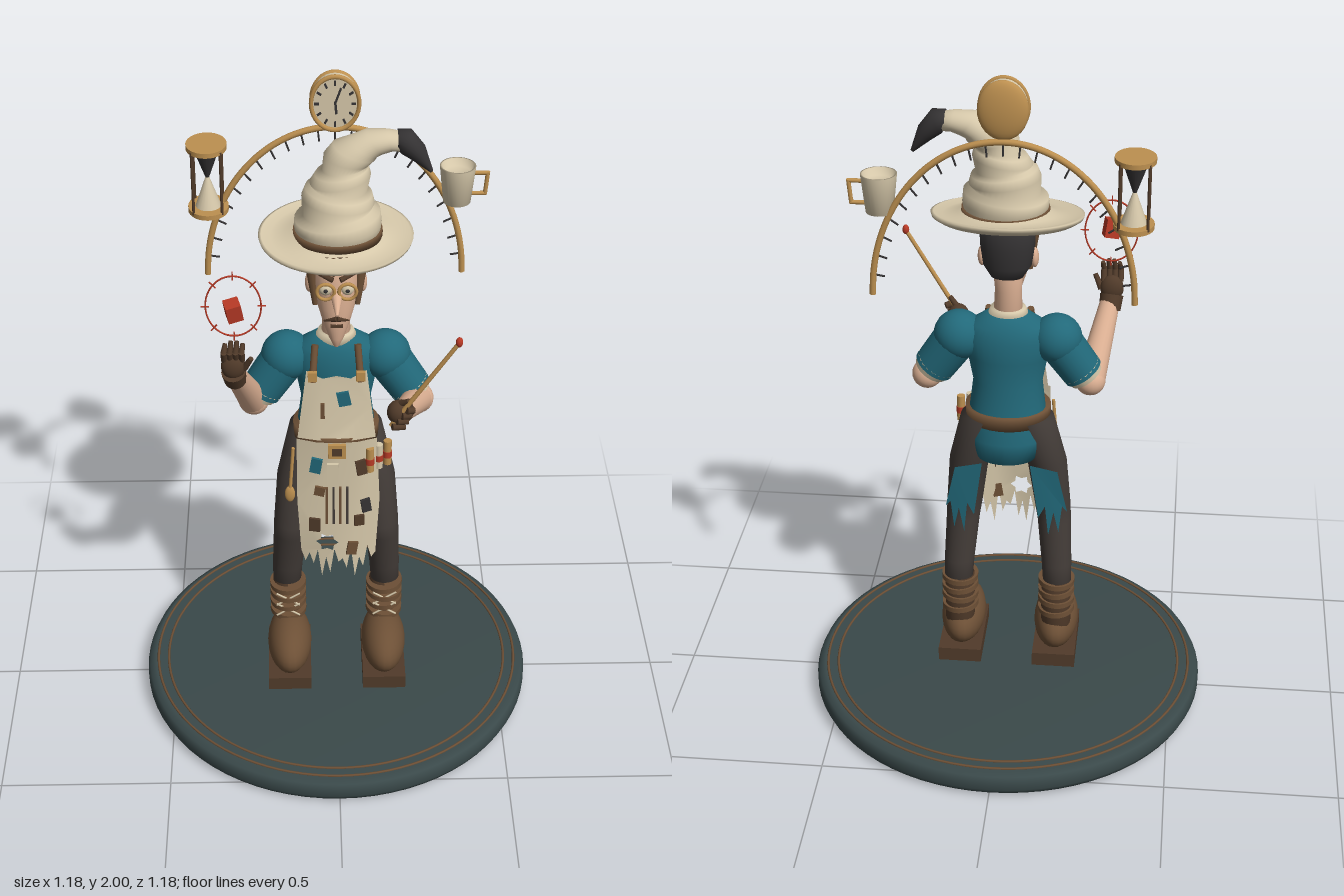
import * as THREE from 'three';

const V = (a) => new THREE.Vector3(...a);

function material(name, color, side = THREE.FrontSide) {
  const m = new THREE.MeshStandardMaterial({ color, side });
  m.name = name;
  return m;
}

// Closed skin over rings [x, y, z, rx, rz, tilt], listed from bottom to top
function loft(rows, seg = 28) {
  const pos = [], idx = [];
  for (const [x, y, z, rx, rz, t = 0] of rows)
    for (let i = 0; i < seg; i++) {
      const a = (i / seg) * Math.PI * 2, c = rx * Math.cos(a);
      pos.push(x + c * Math.cos(t), y + c * Math.sin(t), z + rz * Math.sin(a));
    }
  for (let r = 0; r < rows.length - 1; r++)
    for (let i = 0; i < seg; i++) {
      const a = r * seg + i, b = r * seg + (i + 1) % seg;
      idx.push(a, a + seg, b, b, a + seg, b + seg);
    }
  [0, rows.length - 1].forEach((r) => {
    const c = pos.length / 3;
    pos.push(...rows[r].slice(0, 3));
    for (let i = 0; i < seg; i++) {
      const a = r * seg + i, b = r * seg + (i + 1) % seg;
      idx.push(...(r ? [c, b, a] : [c, a, b]));
    }
  });
  const g = new THREE.BufferGeometry();
  g.setAttribute('position', new THREE.Float32BufferAttribute(pos, 3));
  g.setIndex(idx);
  g.computeVertexNormals();
  return g;
}

// Cloth sheet cut from an outline and bent by a depth rule
function sheet(points, depth, holes = []) {
  const s = new THREE.Shape(points.map((p) => new THREE.Vector2(...p)));
  for (const h of holes) s.holes.push(new THREE.Path(h.map((p) => new THREE.Vector2(...p))));
  const g = new THREE.ShapeGeometry(s), p = g.attributes.position;
  for (let i = 0; i < p.count; i++) p.setZ(i, depth(p.getX(i), p.getY(i)));
  g.computeVertexNormals();
  return g;
}

export function createModel() {
  const model = new THREE.Group();
  const slate = material('slate', 0x3a494a), cream = material('cream', 0xd6c8aa, THREE.DoubleSide);
  const teal = material('teal', 0x22697a, THREE.DoubleSide), charcoal = material('charcoal', 0x433c38);
  const leather = material('leather', 0x6d5036), skin = material('skin', 0xdcb093);
  const gold = material('gold', 0xbd9050), red = material('red', 0xb83a26);
  const black = material('black', 0x353334), darkBrown = material('darkBrown', 0x513b2a);

  const add = (name, geo, mat, p = [0, 0, 0], s = [1, 1, 1], r = [0, 0, 0], parent = model) => {
    const m = new THREE.Mesh(geo, mat);
    m.name = name;
    m.position.set(...p); m.scale.set(...s); m.rotation.set(...r);
    parent.add(m);
    return m;
  };
  const ball = (name, mat, p, s) => add(name, new THREE.SphereGeometry(1, 24, 16), mat, p, s);
  const box = (name, mat, p, s, r) => add(name, new THREE.BoxGeometry(...s), mat, p, [1, 1, 1], r);
  const rod = (name, mat, a, b, r1, r2 = r1, seg = 12) => {
    const d = V(b).sub(V(a));
    const m = add(name, new THREE.CylinderGeometry(r2, r1, d.length(), seg), mat, V(a).addScaledVector(d, 0.5).toArray());
    m.quaternion.setFromUnitVectors(V([0, 1, 0]), d.normalize());
    return m;
  };

  // Round base with two cord inlays
  const edge = [[0, 0], [0.565, 0], [0.583, 0.01], [0.59, 0.025], [0.59, 0.05], [0.583, 0.066], [0.565, 0.076], [0, 0.076]];
  add('base', new THREE.LatheGeometry(edge.map((p) => new THREE.Vector2(...p)), 72), slate);
  for (const r of [0.557, 0.525]) add('baseCord', new THREE.TorusGeometry(r, 0.004, 6, 96), leather, [0, 0.077, 0], [1, 1, 1], [Math.PI / 2, 0, 0]);

  // Legs, boots, ankle wraps and tunic tails
  for (const s of [-1, 1]) {
    add('trouserLeg', loft([[s * 0.15, 0.35, -0.005, 0.042, 0.036], [s * 0.147, 0.43, 0, 0.045, 0.042], [s * 0.137, 0.57, 0.025, 0.05, 0.052],
      [s * 0.132, 0.62, 0.028, 0.053, 0.057], [s * 0.115, 0.78, 0.008, 0.058, 0.062], [s * 0.07, 0.94, -0.015, 0.065, 0.068]]), charcoal);
    box('sole', darkBrown, [s * 0.144, 0.106, 0.065], [0.13, 0.044, 0.25]);
    ball('boot', leather, [s * 0.144, 0.185, 0.07], [0.067, 0.08, 0.134]);
    add('ankle', loft([[s * 0.147, 0.2, 0, 0.045, 0.045], [s * 0.147, 0.37, 0, 0.045, 0.045]]), darkBrown);
    [0.262, 0.298, 0.33, 0.362].forEach((y, i) =>
      add('ankleStrap', new THREE.CylinderGeometry(0.055, 0.055, 0.016, 24), leather, [s * 0.147, y, 0.008], [1, 1, 1.08], [0, 0, (i % 2 ? 1 : -1) * 0.04]));
    for (const d of [-1, 1]) for (const y of [0.27, 0.31])
      rod('lace', cream, [s * 0.147 - d * 0.035, y, 0.06], [s * 0.147 + d * 0.035, y + 0.045, 0.06], 0.003, 0.003, 6);
    add('tunicTail', sheet([[0.07, 0.8], [0.15, 0.78], [0.18, 0.64], [0.165, 0.66], [0.155, 0.57], [0.14, 0.64], [0.125, 0.56], [0.115, 0.66], [0.095, 0.62]]
      .map(([x, y]) => [s * x, y]), (x, y) => -0.068 + 0.18 * Math.max(0, Math.abs(x) - 0.13) + (0.8 - y) * 0.03), teal);
  }

  // Tunic, belt and collar
  add('tunic', loft([[0, 0.82, -0.045, 0.085, 0.062], [0, 0.88, -0.025, 0.112, 0.078], [0, 0.95, -0.008, 0.112, 0.085], [0, 1.05, 0, 0.1, 0.074],
    [0, 1.13, 0, 0.115, 0.08], [0, 1.19, 0, 0.13, 0.078], [0, 1.23, 0.002, 0.11, 0.066], [0, 1.26, 0.005, 0.06, 0.048]], 36), teal);
  add('belt', loft([[0, 0.925, 0.008, 0.124, 0.106], [0, 0.967, 0.008, 0.124, 0.106]], 36), leather);
  add('collar', loft([[0, 1.235, 0.005, 0.068, 0.056], [0, 1.275, 0.008, 0.05, 0.046]]), cream);

  // Apron: bent skirt with ragged hem and a torn hole, then the bib
  const skirtZ = (x) => 0.136 - 2 * x * x, bibZ = (x, y) => 0.112 - 0.1 * (y - 0.95) - 1.6 * x * x;
  const hem = [];
  for (let i = 0; i <= 18; i++) hem.push([-0.105 + i * 0.0122, i % 2 ? 0.51 + 0.03 * Math.sin(i * 2.3) : 0.57 + 0.02 * Math.sin(i * 1.7)]);
  const topEdge = [0.115, 0.06, 0, -0.06, -0.115].map((x) => [x, 0.97]);
  const hole = [];
  for (let i = 0; i < 12; i++) {
    const a = -i * Math.PI / 6, r = i % 2 ? 0.022 : 0.033;
    hole.push([-0.028 + r * Math.cos(a), 0.612 + r * Math.sin(a)]);
  }
  add('apronSkirt', sheet([...hem, [0.125, 0.75], ...topEdge, [-0.115, 0.75]], skirtZ, [hole]), cream);
  add('apronBib', sheet([[-0.112, 0.96], [-0.05, 0.96], [0, 0.96], [0.05, 0.96], [0.112, 0.96], [0.1, 1.06], [0.085, 1.18], [0.04, 1.16], [0, 1.17],
    [-0.04, 1.16], [-0.085, 1.18], [-0.1, 1.06]], bibZ), cream);
  for (const s of [-1, 1]) {
    rod('apronStrap', leather, [s * 0.068, 1.15, 0.09], [s * 0.06, 1.25, 0.052], 0.01);
    box('strapBuckle', gold, [s * 0.068, 1.17, 0.092], [0.026, 0.03, 0.012]);
  }
  const patches = [[-0.06, 0.89, 0.032, 0.05, teal], [-0.012, 0.865, 0.034, 0.07, cream], [0.07, 0.88, 0.03, 0.05, darkBrown], [-0.05, 0.8, 0.03, 0.03, leather],
    [-0.065, 0.675, 0.032, 0.045, darkBrown], [0.085, 0.74, 0.028, 0.045, black], [0.045, 0.59, 0.03, 0.045, leather], [0.065, 0.69, 0.03, 0.035, darkBrown]];
  patches.forEach(([x, y, w, h, m], i) => box('apronPatch', m, [x, y, skirtZ(x) + 0.003], [w, h, 0.008], [0, x * 3.5, (i % 3 - 1) * 0.15]));
  for (let i = 0; i < 4; i++) box('apronStripe', i % 2 ? charcoal : leather, [-0.03 + i * 0.02, 0.75, 0.138], [0.007, 0.13, 0.008]);
  box('bibPatch', teal, [0.02, 1.1, 0.102], [0.035, 0.045, 0.008], [0, 0, 0.2]);
  box('bibSeam', leather, [-0.04, 1.06, 0.103], [0.012, 0.05, 0.008]);

  // Belt buckle, hanging spoon and vials
  box('buckle', gold, [0, 0.945, 0.138], [0.05, 0.045, 0.014]);
  box('buckleInset', darkBrown, [0, 0.945, 0.144], [0.028, 0.024, 0.008]);
  rod('spoonHandle', gold, [-0.125, 0.93, 0.1], [-0.135, 0.79, 0.105], 0.005);
  ball('spoonBowl', gold, [-0.136, 0.77, 0.105], [0.015, 0.028, 0.008]);
  for (let i = 0; i < 3; i++) {
    rod('vial', i === 1 ? cream : gold, [0.095 + i * 0.026, 0.86, 0.118 - i * 0.018], [0.095 + i * 0.026, 0.94, 0.118 - i * 0.018], 0.012);
    rod('vialBand', red, [0.095 + i * 0.026, 0.885, 0.118 - i * 0.018], [0.095 + i * 0.026, 0.905, 0.118 - i * 0.018], 0.0135);
  }

  // Arms: right hand raised with a spell, left hand forward with a match
  const arms = [[-1, [-0.283, 1.235, 0.17]], [1, [0.178, 1.115, 0.195]]];
  for (const [s, wrist] of arms) {
    const shoulder = [s * 0.14, 1.185, 0], cuff = [s * 0.215, 1.075, 0.01], elbow = [s * 0.236, 1.045, 0.018];
    ball('shoulder', teal, shoulder, [0.073, 0.073, 0.07]);
    rod('sleeve', teal, shoulder, cuff, 0.065, 0.06, 24);
    rod('cuff', cream, [s * 0.207, 1.087, 0.009], [s * 0.224, 1.062, 0.012], 0.061, 0.052, 20);
    ball('elbow', skin, elbow, [0.044, 0.044, 0.044]);
    rod('forearm', skin, elbow, wrist, 0.043, 0.028, 20);
  }
  rod('rightGloveCuff', darkBrown, [-0.281, 1.205, 0.155], [-0.285, 1.245, 0.175], 0.031, 0.034, 16);
  ball('rightPalm', darkBrown, [-0.285, 1.265, 0.178], [0.034, 0.04, 0.022]);
  for (let i = 0; i < 4; i++) {
    const x = -0.309 + i * 0.016;
    rod('rightFinger', darkBrown, [x, 1.285, 0.18], [x, 1.32, 0.195], 0.009);
    rod('rightFingertip', darkBrown, [x, 1.318, 0.195], [x + 0.004, 1.355 - Math.abs(i - 1.5) * 0.008, 0.185], 0.009, 0.006);
  }
  rod('rightThumb', darkBrown, [-0.255, 1.26, 0.18], [-0.235, 1.3, 0.195], 0.01, 0.007);
  rod('leftGloveCuff', darkBrown, [0.185, 1.11, 0.175], [0.174, 1.125, 0.21], 0.031, 0.034, 16);
  ball('leftPalm', darkBrown, [0.168, 1.135, 0.22], [0.032, 0.036, 0.03]);
  for (let i = 0; i < 4; i++) rod('leftFinger', darkBrown, [0.15 + i * 0.013, 1.105 + i * 0.018, 0.25], [0.185 + i * 0.008, 1.1 + i * 0.018, 0.24], 0.01);
  rod('leftThumb', darkBrown, [0.17, 1.16, 0.22], [0.195, 1.185, 0.24], 0.01, 0.007);
  rod('matchStick', gold, [0.148, 1.1, 0.235], [0.325, 1.385, 0.26], 0.007, 0.006);
  ball('matchHead', red, [0.325, 1.387, 0.26], [0.01, 0.015, 0.01]);

  // Floating cube in a thin ring with marks
  box('spellCube', red, [-0.28, 1.45, 0.187], [0.042, 0.052, 0.042], [0.15, 0.25, 0.15]);
  add('spellRing', new THREE.TorusGeometry(0.094, 0.0028, 6, 48), red, [-0.28, 1.45, 0.166], [0.8, 1, 1]);
  for (let i = 0; i < 8; i++) {
    const c = Math.cos(i * Math.PI / 4), d = Math.sin(i * Math.PI / 4);
    rod('spellMark', red, [-0.28 + c * 0.065, 1.45 + d * 0.082, 0.166], [-0.28 + c * 0.088, 1.45 + d * 0.108, 0.166], 0.002, 0.002, 6);
  }

  // Head: long pointed face, ears, nose, hair and round spectacles
  add('neck', loft([[0, 1.24, 0.005, 0.042, 0.038], [0, 1.33, 0.012, 0.038, 0.036], [0, 1.42, 0.005, 0.045, 0.045]]), skin);
  add('face', loft([[0, 1.255, 0.062, 0.008, 0.01], [0, 1.285, 0.058, 0.022, 0.024], [0, 1.33, 0.048, 0.038, 0.04], [0, 1.38, 0.036, 0.053, 0.054],
    [0, 1.44, 0.025, 0.062, 0.064], [0, 1.56, 0.015, 0.066, 0.066]]), skin);
  add('hair', loft([[0, 1.385, -0.025, 0.045, 0.03], [0, 1.42, -0.018, 0.068, 0.052], [0, 1.48, -0.012, 0.077, 0.064], [0, 1.56, -0.008, 0.08, 0.07]]), black);
  rod('nose', skin, [0, 1.435, 0.085], [0, 1.405, 0.15], 0.018, 0.004);
  box('mouth', darkBrown, [0, 1.335, 0.089], [0.034, 0.007, 0.008]);
  for (const s of [-1, 1]) {
    rod('moustache', darkBrown, [0, 1.36, 0.094], [s * 0.035, 1.345, 0.076], 0.008, 0.002);
    rod('sideburn', leather, [s * 0.068, 1.5, 0.035], [s * 0.058, 1.38, 0.045], 0.018, 0.008);
    ball('ear', skin, [s * 0.074, 1.43, 0.01], [0.012, 0.03, 0.018]);
    ball('eye', cream, [s * 0.03, 1.45, 0.083], [0.018, 0.018, 0.012]);
    ball('pupil', black, [s * 0.03, 1.45, 0.094], [0.006, 0.006, 0.004]);
    add('spectacleRim', new THREE.TorusGeometry(0.024, 0.005, 8, 24), gold, [s * 0.03, 1.45, 0.098]);
    rod('brow', darkBrown, [s * 0.01, 1.482, 0.09], [s * 0.055, 1.495, 0.068], 0.008, 0.005);
  }
  for (let i = 0; i < 18; i++) {
    const a = Math.PI * (i / 17), c = Math.cos(a), d = Math.sin(a);
    rod('fringe', i % 2 ? leather : darkBrown, [c * 0.095, 1.56, 0.01 + d * 0.08], [c * 0.085, 1.495 + 0.012 * (i % 3), 0.01 + d * 0.08], 0.016, 0.004, 8);
  }

  // Hat: tilted brim, crumpled crown and drooping tip
  const brim = [[0.08, -0.012], [0.14, -0.016], [0.19, -0.012], [0.21, 0], [0.213, 0.01], [0.205, 0.012], [0.18, 0.005], [0.14, 0.01], [0.1, 0.03]];
  add('hatBrim', new THREE.LatheGeometry(brim.map((p) => new THREE.Vector2(...p)), 48), cream, [0, 1.562, -0.01], [1, 1, 0.83], [0.13, 0, 0]);
  add('hatBand', loft([[0.005, 1.57, -0.01, 0.124, 0.113], [0.005, 1.592, -0.01, 0.122, 0.112]], 36), leather);
  add('hatCrown', loft([[0.005, 1.55, -0.01, 0.112, 0.104], [0.005, 1.605, -0.01, 0.12, 0.112, 0.04], [0.004, 1.632, -0.012, 0.118, 0.112, 0.1],
    [0.004, 1.645, -0.014, 0.096, 0.094, 0.12], [0.006, 1.675, -0.02, 0.1, 0.098, -0.1], [0.008, 1.7, -0.022, 0.092, 0.09, -0.12],
    [0.01, 1.708, -0.024, 0.076, 0.074, -0.1], [0.012, 1.735, -0.026, 0.084, 0.08, 0.16], [0.016, 1.758, -0.028, 0.074, 0.07, 0.18],
    [0.022, 1.766, -0.03, 0.06, 0.058, 0.12], [0.03, 1.79, -0.032, 0.064, 0.062, -0.2], [0.05, 1.812, -0.034, 0.062, 0.06, -0.35],
    [0.075, 1.825, -0.034, 0.046, 0.05, -0.6], [0.105, 1.838, -0.034, 0.04, 0.045, -0.95], [0.145, 1.842, -0.032, 0.03, 0.036, -1.4],
    [0.18, 1.838, -0.03, 0.026, 0.032, -1.8]], 36), cream);
  add('hatTip', loft([[0.165, 1.845, -0.03, 0.026, 0.034, -1.6], [0.19, 1.838, -0.03, 0.036, 0.037, -1.95], [0.222, 1.805, -0.03, 0.026, 0.031, -2.3],
    [0.258, 1.75, -0.028, 0.005, 0.006, -2.5]], 20), black);

  // Arch behind the head with tick marks
  const arch = [];
  for (let i = 0; i <= 24; i++) {
    const a = Math.PI * i / 24, c = Math.cos(a), d = Math.sin(a);
    arch.push(new THREE.Vector3(0.36 * c, 1.37 + 0.458 * d, -0.142));
    if (i % 24) rod('archTick', black, [0.352 * c, 1.37 + 0.448 * d, -0.142], [0.328 * c, 1.37 + 0.418 * d, -0.142], 0.0028, 0.0028, 6);
  }
  add('arch', new THREE.TubeGeometry(new THREE.CatmullRomCurve3(arch), 72, 0.009, 10), gold);

  // Oval clock on top of the arch
  const clock = new THREE.Group();
  clock.name = 'clock';
  clock.position.set(0, 1.915, -0.138);
  clock.scale.set(0.83, 1, 1);
  model.add(clock);
  const part = (n, g, m, p, s, r) => add(n, g, m, p, s, r, clock);
  part('clockCase', new THREE.SphereGeometry(0.083, 32, 16), gold, [0, 0, 0], [1, 1, 0.28]);
  part('clockDial', new THREE.CylinderGeometry(0.078, 0.078, 0.03, 36), cream, [0, 0, 0.018], [1, 1, 1], [Math.PI / 2, 0, 0]);
  part('clockRim', new THREE.TorusGeometry(0.078, 0.007, 8, 40), gold, [0, 0, 0.033]);
  for (let i = 0; i < 12; i++) {
    const a = i * Math.PI / 6;
    part('hourMark', new THREE.BoxGeometry(0.006, 0.015, 0.006), black, [0.06 * Math.sin(a), 0.06 * Math.cos(a), 0.034], [1, 1, 1], [0, 0, -a]);
  }
  part('minuteHand', new THREE.BoxGeometry(0.006, 0.05, 0.006), black, [0.009, 0.022, 0.035], [1, 1, 1], [0, 0, -0.4]);
  part('hourHand', new THREE.BoxGeometry(0.008, 0.035, 0.006), black, [0.002, -0.012, 0.035], [1, 1, 1], [0, 0, 0.1]);

  // Hourglass
  const hx = -0.35, hz = -0.12;
  for (const y of [1.596, 1.786]) add('hourglassCap', new THREE.CylinderGeometry(0.056, 0.056, 0.014, 28), gold, [hx, y, hz], [1, 1, 1.15]);
  for (let i = 0; i < 4; i++) {
    const a = Math.PI / 4 + i * Math.PI / 2;
    rod('hourglassPost', darkBrown, [hx + 0.055 * Math.cos(a), 1.596, hz + 0.06 * Math.sin(a)], [hx + 0.055 * Math.cos(a), 1.786, hz + 0.06 * Math.sin(a)], 0.004, 0.004, 8);
  }
  rod('upperSand', black, [hx, 1.69, hz], [hx, 1.778, hz], 0.005, 0.036, 20);
  rod('lowerSand', cream, [hx, 1.602, hz], [hx, 1.692, hz], 0.036, 0.005, 20);

  // Cup with square handle
  const cup = [[0, 0], [0.038, 0], [0.05, 0.11], [0.045, 0.11], [0.036, 0.09], [0, 0.09]];
  add('cup', new THREE.LatheGeometry(cup.map((p) => new THREE.Vector2(...p)), 28), cream, [0.337, 1.608, -0.12]);
  rod('cupHandleTop', gold, [0.38, 1.695, -0.12], [0.424, 1.695, -0.12], 0.006);
  rod('cupHandleSide', gold, [0.42, 1.698, -0.12], [0.414, 1.63, -0.12], 0.006);
  rod('cupHandleBottom', gold, [0.372, 1.632, -0.12], [0.418, 1.632, -0.12], 0.006);
  return model;
}
